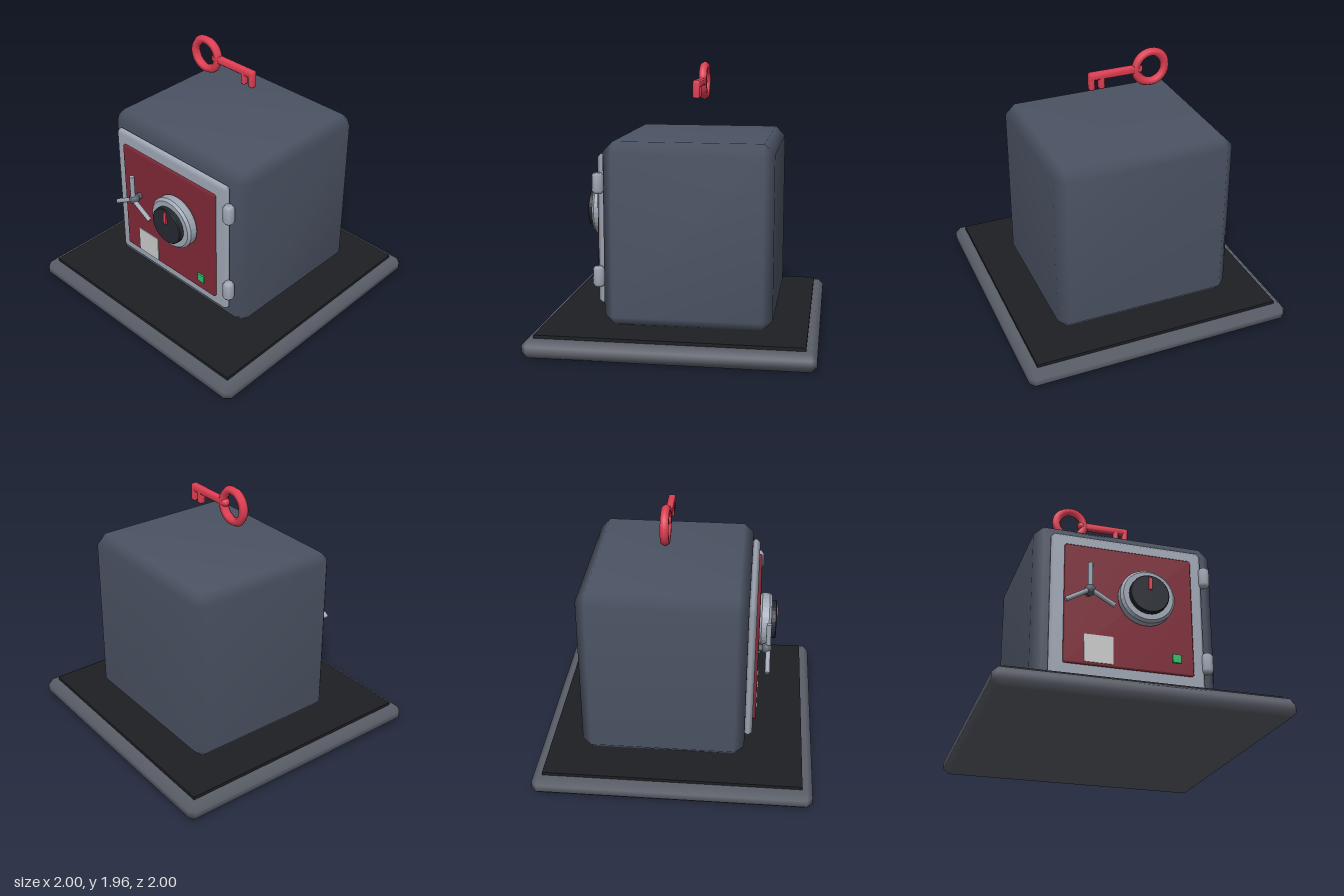
import * as THREE from 'three';
import { ConvexGeometry } from 'three/addons/geometries/ConvexGeometry.js';
import { mergeVertices } from 'three/addons/utils/BufferGeometryUtils.js';

const paint = (color) => new THREE.MeshStandardMaterial({ color });
const steel = paint(0xa0a8b5);
const darkSteel = paint(0x59606c);
const shell = paint(0x4b5363);
const plinth = paint(0x5a5e68);
const black = paint(0x1e1f23);
const dialBlack = paint(0x252931);
const doorRed = paint(0x7f2937);
const brightRed = paint(0xe23f54);
const green = paint(0x2fbf68);
const paper = paint(0xcccccc);

// Box with every edge cut by a single chamfer c, softly shaded across the cuts
function chamferBox(w, h, d, c) {
  const points = [];
  for (const x of [-w / 2, w / 2])
    for (const y of [-h / 2, h / 2])
      for (const z of [-d / 2, d / 2]) {
        const ix = x - Math.sign(x) * c, iy = y - Math.sign(y) * c, iz = z - Math.sign(z) * c;
        points.push(
          new THREE.Vector3(x, iy, iz),
          new THREE.Vector3(ix, y, iz),
          new THREE.Vector3(ix, iy, z)
        );
      }
  let geo = new ConvexGeometry(points);
  geo.deleteAttribute('normal');
  geo = mergeVertices(geo, 1e-5);
  geo.computeVertexNormals();
  return geo;
}

function add(parent, name, geo, material, x, y, z) {
  const mesh = new THREE.Mesh(geo, material);
  mesh.name = name;
  mesh.position.set(x, y, z);
  parent.add(mesh);
  return mesh;
}

// Disc facing +z, starting at z = 0, with a chamfered front and back rim
function disc(radius, depth, c, sides) {
  const section = [[0, 0], [radius - c, 0], [radius, c], [radius, depth - c], [radius - c, depth], [0, depth]]
    .map(([r, y]) => new THREE.Vector2(r, y));
  const geo = new THREE.LatheGeometry(section, sides).toNonIndexed();
  geo.computeVertexNormals();
  return geo.rotateX(Math.PI / 2);
}

export function createModel() {
  const model = new THREE.Group();
  model.name = 'safe';

  // Plinth and floor mat
  add(model, 'base', chamferBox(2, 0.13, 2, 0.04), plinth, 0, 0.07, 0);
  add(model, 'mat', new THREE.BoxGeometry(1.85, 0.06, 1.85), black, 0, 0.128, 0);

  // Safe body
  add(model, 'body', chamferBox(1.325, 1.3, 1.185, 0.072), shell, 0, 0.805, -0.09);

  // Door
  const door = new THREE.Group();
  door.name = 'door';
  model.add(door);
  add(door, 'doorFrame', chamferBox(1.105, 1.07, 0.064, 0.025), steel, -0.003, 0.825, 0.524);
  add(door, 'doorPanel', chamferBox(0.925, 0.89, 0.06, 0.01), doorRed, -0.002, 0.825, 0.547);
  add(door, 'label', new THREE.BoxGeometry(0.205, 0.2, 0.008), paper, -0.223, 0.495, 0.579);
  add(door, 'statusLight', new THREE.BoxGeometry(0.06, 0.06, 0.02), green, 0.332, 0.49, 0.58);

  // Hinges: eight-sided barrels with cut ends
  const barrel = [[0, -0.072], [0.028, -0.072], [0.043, -0.052], [0.043, 0.052], [0.028, 0.072], [0, 0.072]]
    .map(([r, y]) => new THREE.Vector2(r, y));
  for (const y of [0.495, 1.16])
    add(door, 'hinge', new THREE.LatheGeometry(barrel, 8), steel, 0.57, y, 0.546);

  // Combination dial
  const dial = new THREE.Group();
  dial.name = 'dial';
  dial.position.set(0.108, 0.9, 0);
  door.add(dial);
  add(dial, 'dialRing', disc(0.198, 0.09, 0.018, 32), steel, 0, 0, 0.573);
  add(dial, 'dialKnob', disc(0.14, 0.05, 0.006, 32), dialBlack, 0, 0, 0.65);
  add(dial, 'dialPointer', new THREE.BoxGeometry(0.024, 0.09, 0.02), brightRed, 0, 0.073, 0.702);

  // Three-spoke handle
  const handle = new THREE.Group();
  handle.name = 'handle';
  handle.position.set(-0.3, 0.9, 0.64);
  door.add(handle);
  const shaft = add(handle, 'handleShaft', new THREE.CylinderGeometry(0.025, 0.025, 0.07, 12), darkSteel, 0, 0, -0.035);
  shaft.rotation.x = Math.PI / 2;
  add(handle, 'handleHub', new THREE.SphereGeometry(0.04, 12, 8), darkSteel, 0, 0, -0.008);
  const spoke = new THREE.CylinderGeometry(0.018, 0.018, 0.2, 8).translate(0, 0.1, 0);
  for (let i = 0; i < 3; i++)
    add(handle, 'handleSpoke', spoke, steel, 0, 0, 0.004).rotation.z = i * Math.PI * 2 / 3;

  // Key floating above the safe
  const key = new THREE.Group();
  key.name = 'key';
  key.position.set(0, 1.825, -0.09);
  model.add(key);
  add(key, 'keyBow', new THREE.TorusGeometry(0.111, 0.033, 6, 28), brightRed, -0.262, 0, 0);
  add(key, 'keyCollar', new THREE.SphereGeometry(0.033, 10, 8), brightRed, -0.17, 0, 0);
  add(key, 'keyShank', chamferBox(0.375, 0.055, 0.05, 0.01), brightRed, 0.016, 0, 0);
  for (const x of [0.109, 0.183])
    add(key, 'keyTooth', chamferBox(0.042, 0.12, 0.05, 0.01), brightRed, x, -0.04, 0);

  return model;
}
